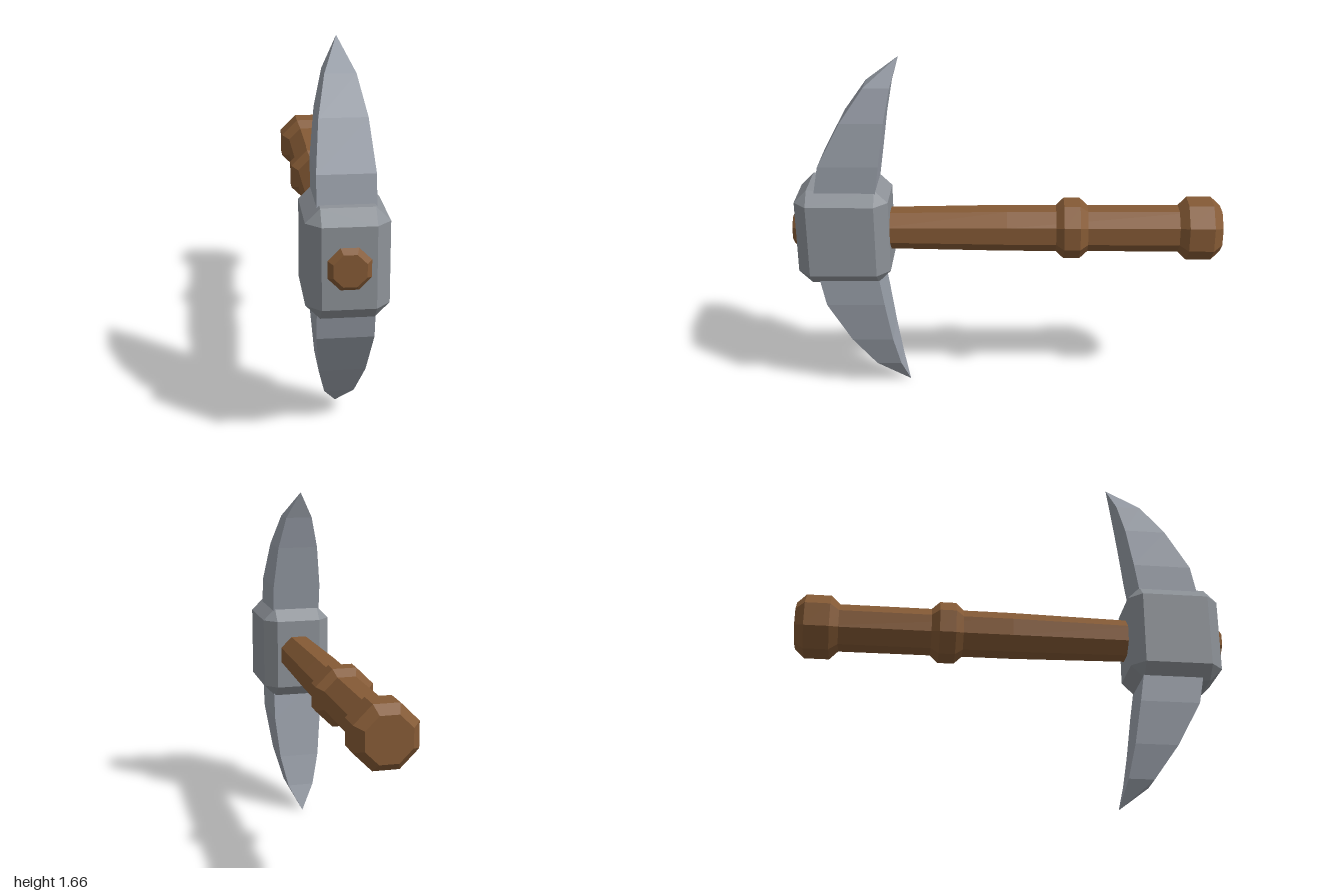
import * as THREE from 'three';
import { ConvexGeometry } from 'three/addons/geometries/ConvexGeometry.js';

const AXIS_Y = 0.835; // height of the handle axis

function faceted(geometry) {
  const g = geometry.index ? geometry.toNonIndexed() : geometry;
  g.computeVertexNormals();
  return g;
}

// Octagonal turned piece along z; profile is [flat-to-centre distance, z], z increasing
function octagonal(profile) {
  const k = 1 / Math.cos(Math.PI / 8);
  const points = profile.map(([r, z]) => new THREE.Vector2(r * k, z));
  points.unshift(new THREE.Vector2(0, profile[0][1]));
  points.push(new THREE.Vector2(0, profile[profile.length - 1][1]));
  const g = new THREE.LatheGeometry(points, 8, Math.PI / 8);
  g.rotateX(Math.PI / 2);
  return faceted(g);
}

// Box with every edge chamfered by c
function chamferedBox(hx, hy, hz, c) {
  const points = [];
  for (const x of [-1, 1]) for (const y of [-1, 1]) for (const z of [-1, 1]) {
    points.push(
      new THREE.Vector3(x * hx, y * (hy - c), z * (hz - c)),
      new THREE.Vector3(x * (hx - c), y * hy, z * (hz - c)),
      new THREE.Vector3(x * (hx - c), y * (hy - c), z * hz));
  }
  return faceted(new ConvexGeometry(points));
}

// Curved spike lofted through rectangles: [height, half width, front z, back z]
function spike(sections) {
  const positions = [], index = [];
  for (const [y, w, f, b] of sections) {
    positions.push(w, y, f, w, y, b, -w, y, b, -w, y, f);
  }
  for (let s = 0; s < sections.length - 1; s++) {
    for (let i = 0; i < 4; i++) {
      const a = s * 4 + i, b = s * 4 + (i + 1) % 4;
      index.push(a, b, b + 4, a, b + 4, a + 4);
    }
  }
  const g = new THREE.BufferGeometry();
  g.setAttribute('position', new THREE.Float32BufferAttribute(positions, 3));
  g.setIndex(index);
  return faceted(g);
}

export function createModel() {
  const wood = new THREE.MeshStandardMaterial({ color: 0x855a35 });
  wood.name = 'wood';
  const iron = new THREE.MeshStandardMaterial({ color: 0x8d9298 });
  iron.name = 'iron';
  const steel = new THREE.MeshStandardMaterial({ color: 0x999fa9 });
  steel.name = 'steel';

  const model = new THREE.Group();
  model.name = 'pickaxe';
  const add = (name, geometry, material) => {
    const mesh = new THREE.Mesh(geometry, material);
    mesh.name = name;
    mesh.position.y = AXIS_Y;
    model.add(mesh);
    return mesh;
  };

  // Handle: tapered shaft through the head, grip collar and pommel
  add('shaft', octagonal([[0.102, -0.9], [0.1, 0], [0.09, 0.6], [0.088, 0.975], [0.067, 1]]), wood);
  add('collar', octagonal([[0.1, -0.378], [0.132, -0.34], [0.132, -0.265], [0.1, -0.228]]), wood);
  add('pommel', octagonal([[0.1, -1], [0.137, -0.957], [0.137, -0.842], [0.1, -0.8]]), wood);

  // Head block
  add('headBlock', chamferedBox(0.17, 0.233, 0.215, 0.06), iron).position.z = 0.76;

  // Two matching spikes, the lower one turned upside down
  const spikeGeometry = spike([
    [0.15, 0.12, 0.893, 0.611],
    [0.35, 0.12, 0.855, 0.581],
    [0.55, 0.1, 0.747, 0.551],
    [0.704, 0.065, 0.638, 0.52],
    [0.832, 0, 0.482, 0.482],
  ]);
  add('upperSpike', spikeGeometry, steel);
  add('lowerSpike', spikeGeometry, steel).rotation.z = Math.PI;

  return model;
}
